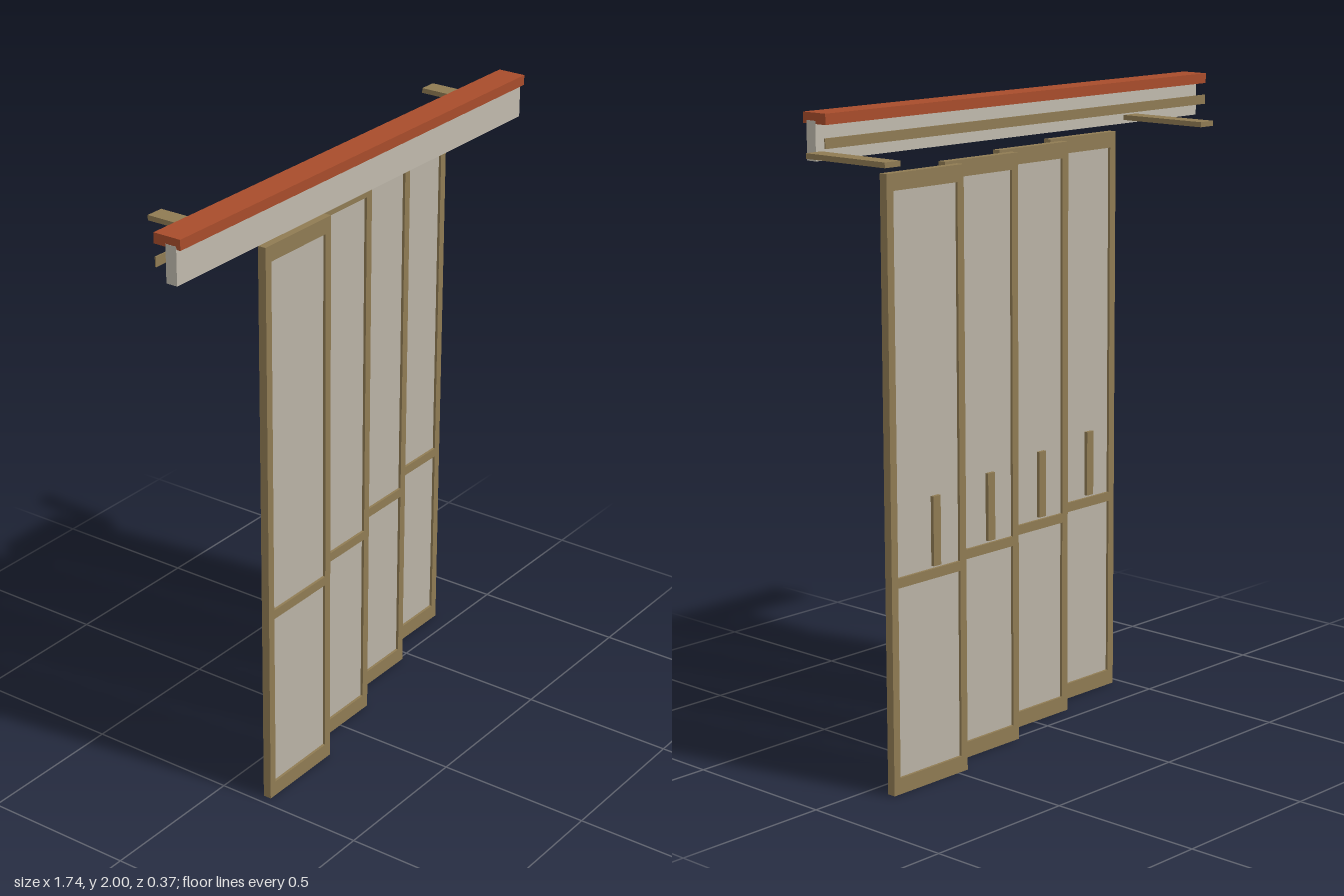
import * as THREE from 'three';

function material(name, color) {
  const m = new THREE.MeshStandardMaterial({ color });
  m.name = name;
  return m;
}

// Box given by its extents along each axis
function box(name, mat, [x0, x1], [y0, y1], [z0, z1]) {
  const mesh = new THREE.Mesh(new THREE.BoxGeometry(x1 - x0, y1 - y0, z1 - z0), mat);
  mesh.position.set((x0 + x1) / 2, (y0 + y1) / 2, (z0 + z1) / 2);
  mesh.name = name;
  return mesh;
}

function rectangle(Type, x0, x1, y0, y1) {
  const p = new Type();
  p.moveTo(x0, y0);
  p.lineTo(x1, y0);
  p.lineTo(x1, y1);
  p.lineTo(x0, y1);
  p.closePath();
  return p;
}

export function createModel() {
  const wood = material('brown wood', 0x8f7b53);
  const pane = material('grey pane', 0xb9b2a5);
  const fabric = material('pale grey fascia', 0xc0baad);
  const red = material('rust red', 0xa84c2b);

  const model = new THREE.Group();
  model.name = 'slidingScreen';

  // Door leaf: one frame with two openings, infill panes and a rear handle
  const width = 0.31, height = 1.84, depth = 0.027, stile = 0.026;
  const inner = width / 2 - stile;
  const outline = rectangle(THREE.Shape, -width / 2, width / 2, 0, height);
  const openings = [[0.05, 0.63], [0.66, 1.79]];
  for (const [y0, y1] of openings) {
    outline.holes.push(rectangle(THREE.Path, -inner, inner, y0, y1));
  }
  const frameGeometry = new THREE.ExtrudeGeometry(outline, { depth, bevelEnabled: false });
  frameGeometry.translate(0, 0, -depth / 2);

  for (let i = 0; i < 4; i++) {
    const leaf = new THREE.Group();
    leaf.name = `doorLeaf${i + 1}`;
    const frame = new THREE.Mesh(frameGeometry, wood);
    frame.name = 'doorFrame';
    leaf.add(frame);
    for (const opening of openings) {
      leaf.add(box('doorPane', pane, [-inner, inner], opening, [-0.005, 0.005]));
    }
    leaf.add(box('handle', wood, [-0.015, 0.015], [0.68, 0.89], [-0.047, -0.036]));
    // Each leaf runs on its own track, stepping back towards +x
    leaf.position.set(-0.315 + i * width, 0, 0.148 - i * 0.0753);
    model.add(leaf);
  }

  // Header: red cap, fascia board and thin track strip behind it
  model.add(
    box('headerCap', red, [-0.87, 0.828], [1.968, 2], [0.092, 0.184]),
    box('headerFascia', fabric, [-0.8705, 0.8285], [1.862, 1.977], [0.133, 0.17]),
    box('trackStrip', wood, [-0.87, 0.828], [1.9, 1.93], [0.094, 0.098])
  );

  // Flat brackets reaching back from the fascia
  for (const x of [-0.537, 0.836]) {
    model.add(box('bracket', wood, [x - 0.03, x + 0.03], [1.873, 1.889], [-0.184, 0.134]));
  }
  return model;
}
